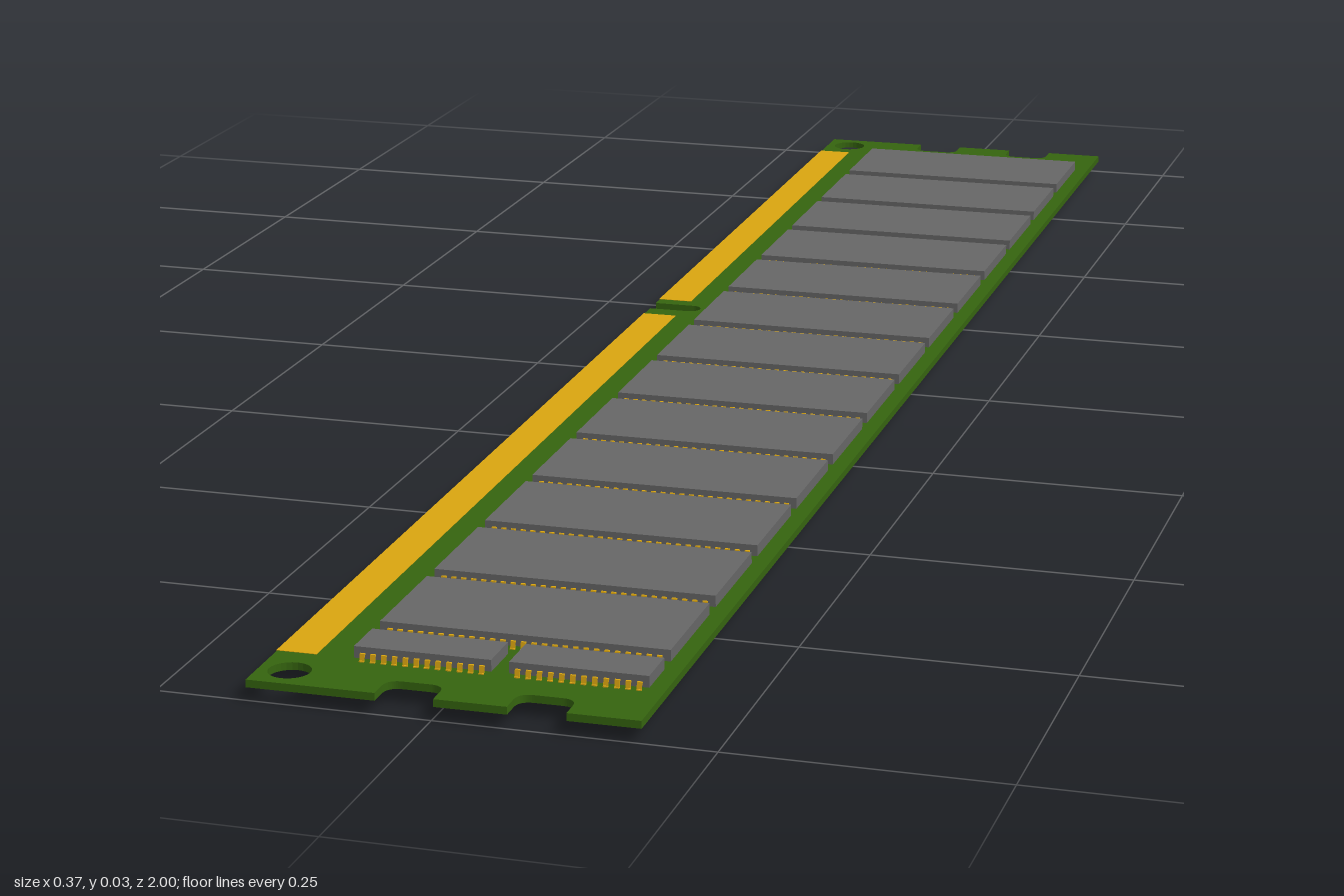
import * as THREE from 'three';
import { mergeGeometries } from 'three/addons/utils/BufferGeometryUtils.js';

const W = 0.175, L = 1;             // half width and half length of the board
const MID = 0.016, THICK = 0.007;   // board mid height and thickness

const mat = (color) => new THREE.MeshStandardMaterial({ color });

function addMesh(parent, name, geometry, material) {
  const mesh = new THREE.Mesh(geometry, material);
  mesh.name = name;
  parent.add(mesh);
  return mesh;
}

// Circuit board outline, drawn in x and z
function boardGeometry() {
  const s = new THREE.Shape();
  const slots = [-0.033, 0.084], half = 0.026, depth = 0.031, r = 0.014;
  // clip slot in a short edge; dir is the travel along x, end is the side in z
  const slot = (x, dir, end) => {
    const a = x - dir * half, b = x + dir * half, deep = end * (L - depth);
    s.lineTo(a, end * L);
    s.lineTo(a, deep + end * r);
    s.quadraticCurveTo(a, deep, a + dir * r, deep);
    s.lineTo(b - dir * r, deep);
    s.quadraticCurveTo(b, deep, b, deep + end * r);
    s.lineTo(b, end * L);
  };
  s.moveTo(-W, -L);
  slots.forEach((x) => slot(x, 1, -1));
  s.lineTo(W, -L);
  s.lineTo(W, L);
  [...slots].reverse().forEach((x) => slot(x, -1, 1));
  s.lineTo(-W, L);
  // key notch between the two contact strips
  const kz = -0.185, kr = 0.011;
  s.lineTo(-W, kz + kr);
  s.lineTo(-0.131, kz + kr);
  s.absarc(-0.131, kz, kr, Math.PI / 2, -Math.PI / 2, true);
  s.lineTo(-W, kz - kr);
  s.closePath();
  // mounting holes
  for (const z of [-0.97, 0.97]) {
    s.holes.push(new THREE.Path().absarc(-0.147, z, 0.019, 0, Math.PI * 2, true));
  }
  const g = new THREE.ExtrudeGeometry(s, { depth: THICK, bevelEnabled: false, curveSegments: 12 });
  g.rotateX(Math.PI / 2);
  g.translate(0, MID + THICK / 2, 0);
  return g;
}

// Row of bent leads along one long side of a chip, pointing to +z
function leadRow(count, span) {
  const s = new THREE.Shape([
    [-0.002, 0.0105], [0.0022, 0.0105], [0.003, 0.0045], [0.0045, 0.0045],
    [0.0045, 0.0035], [0.002, 0.0035], [0.0013, 0.009], [-0.002, 0.009],
  ].map(([x, y]) => new THREE.Vector2(x, y)));
  const w = 0.0045;
  const lead = new THREE.ExtrudeGeometry(s, { depth: w, bevelEnabled: false });
  lead.translate(0, 0, -w / 2);
  lead.rotateY(-Math.PI / 2);
  const parts = [];
  for (let i = 0; i < count; i++) {
    parts.push(lead.clone().translate(-span / 2 + (span * i) / (count - 1), 0, 0));
  }
  return mergeGeometries(parts);
}

export function createModel() {
  const model = new THREE.Group();
  model.name = 'memoryModule';
  const green = mat(0x35640f), gold = mat(0xdaa510), grey = mat(0x666666);

  // the whole module lies turned very slightly
  const module = new THREE.Group();
  module.name = 'module';
  module.rotation.y = 0.009;
  model.add(module);

  addMesh(module, 'circuitBoard', boardGeometry(), green);

  // edge contacts wrap both faces of the board
  for (const [z0, z1] of [[-0.934, -0.212], [-0.152, 0.929]]) {
    const strip = addMesh(module, 'contactStrip',
      new THREE.BoxGeometry(0.037, THICK + 0.0008, z1 - z0), gold);
    strip.position.set(-W + 0.0178, MID, (z0 + z1) / 2);
  }

  // shared chip parts, heights measured from the board's mid plane
  const chipW = 0.264, chipD = 0.119, bodyY = 0.0107, bodyH = 0.0106;
  const bodyGeo = new THREE.BoxGeometry(chipW, bodyH, chipD);
  const smallGeo = new THREE.BoxGeometry(0.124, bodyH, 0.044);
  const bigLeads = leadRow(27, 0.245), smallLeads = leadRow(12, 0.108);

  const addChip = (parent, name, geo, leads, x, z, depth) => {
    const chip = new THREE.Group();
    chip.name = name;
    chip.position.set(x, 0, z);
    addMesh(chip, 'chipBody', geo, grey).position.y = bodyY;
    for (const side of [0, 1]) {
      const row = addMesh(chip, 'chipLeads', leads, gold);
      row.rotation.y = side * Math.PI;
      row.position.z = (side ? -1 : 1) * depth / 2;
    }
    parent.add(chip);
  };

  // chips on the upper face, and the same layout mirrored underneath
  for (const side of [1, -1]) {
    const face = new THREE.Group();
    face.name = side > 0 ? 'upperChips' : 'lowerChips';
    face.position.y = MID;
    face.scale.y = side;
    for (let i = 0; i < 13; i++) {
      addChip(face, 'memoryChip', bodyGeo, bigLeads, 0.029, -0.855 + i * 0.1387, chipD);
    }
    for (const x of [-0.041, 0.099]) {
      addChip(face, 'bufferChip', smallGeo, smallLeads, x, 0.91, 0.044);
    }
    module.add(face);
  }
  return model;
}
